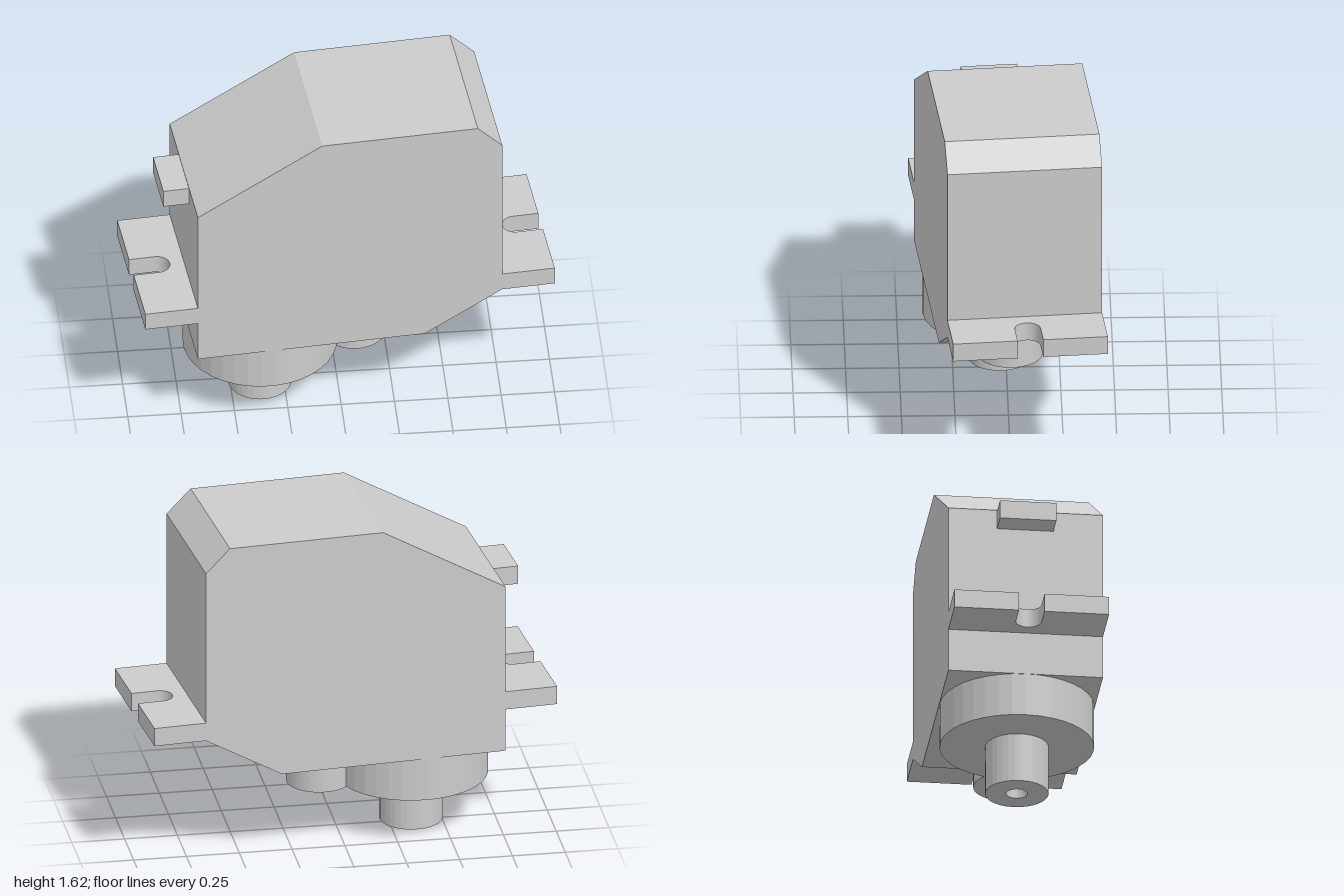
import * as THREE from 'three';

const material = new THREE.MeshStandardMaterial({ color: 0xcccccc, flatShading: true });
const HALF_LENGTH = 0.722;
const WIDTH = 0.726;

// Extrude a plan outline (x, -z) upward from y0 to y1.
function slab(name, shape, y0, y1, curveSegments = 16) {
  const geometry = new THREE.ExtrudeGeometry(shape, { depth: y1 - y0, bevelEnabled: false, curveSegments });
  geometry.rotateX(-Math.PI / 2).translate(0, y0, 0);
  const mesh = new THREE.Mesh(geometry, material);
  mesh.name = name;
  return mesh;
}

// Case: side profile with sloped roof and chamfered corners, extruded across the width.
function makeCase() {
  const profile = [
    [-HALF_LENGTH, 0.45], [0.355, 0.45], [HALF_LENGTH, 0.66], [HALF_LENGTH, 1.51],
    [0.606, 1.625], [-0.132, 1.625], [-HALF_LENGTH, 1.285],
  ].map(([x, y]) => new THREE.Vector2(x, y));
  const geometry = new THREE.ExtrudeGeometry(new THREE.Shape(profile), { depth: WIDTH, bevelEnabled: false });
  geometry.translate(0, 0, -WIDTH / 2);
  const mesh = new THREE.Mesh(geometry, material);
  mesh.name = 'case';
  return mesh;
}

// Mounting ear with an open, round-ended screw slot.
function makeEar(name) {
  const inner = HALF_LENGTH, outer = 0.971, half = WIDTH / 2, slot = 0.06, slotX = 0.849;
  const shape = new THREE.Shape();
  shape.moveTo(inner, -half);
  shape.lineTo(outer, -half);
  shape.lineTo(outer, -slot);
  shape.lineTo(slotX, -slot);
  shape.absarc(slotX, 0, slot, -Math.PI / 2, Math.PI / 2, true);
  shape.lineTo(outer, slot);
  shape.lineTo(outer, half);
  shape.lineTo(inner, half);
  shape.closePath();
  return slab(name, shape, 0.66, 0.75);
}

// Gear housing: outline of a large and a small circle merged together.
function makeGearHousing() {
  const bigX = -0.361, R = 0.361, smallX = 0.083, r = 0.153, d = smallX - bigX;
  const a = (d * d + R * R - r * r) / (2 * d);
  const h = Math.sqrt(R * R - a * a);
  const bigAngle = Math.atan2(h, a), smallAngle = Math.atan2(h, a - d);
  const shape = new THREE.Shape();
  shape.absarc(bigX, 0, R, bigAngle, 2 * Math.PI - bigAngle, false);
  shape.absarc(smallX, 0, r, -smallAngle, smallAngle, false);
  return slab('gearHousing', shape, 0.24, 0.45);
}

// Output shaft with a blind screw hole in its end.
function makeShaft() {
  const profile = [[0, 0.2], [0.05, 0.2], [0.05, 0], [0.148, 0], [0.148, 0.24]]
    .map(([x, y]) => new THREE.Vector2(x, y));
  const mesh = new THREE.Mesh(new THREE.LatheGeometry(profile, 32), material);
  mesh.name = 'outputShaft';
  mesh.position.x = -0.361;
  return mesh;
}

export function createModel() {
  const model = new THREE.Group();
  model.name = 'servoMotor';

  const body = new THREE.Group();
  body.name = 'servoBody';
  body.position.z = -0.003;

  const leftEar = makeEar('leftEar');
  const rightEar = makeEar('rightEar');
  rightEar.rotation.y = Math.PI;

  // Small cable tab on the end of the case
  const tab = new THREE.Mesh(new THREE.BoxGeometry(0.13, 0.09, 0.265), material);
  tab.name = 'cableTab';
  tab.position.set(-0.778, 1.235, -0.002);

  body.add(makeCase(), leftEar, rightEar, tab, makeGearHousing(), makeShaft());

  // The whole unit stands slightly turned
  model.add(body);
  body.rotation.y = THREE.MathUtils.degToRad(5);
  return model;
}
